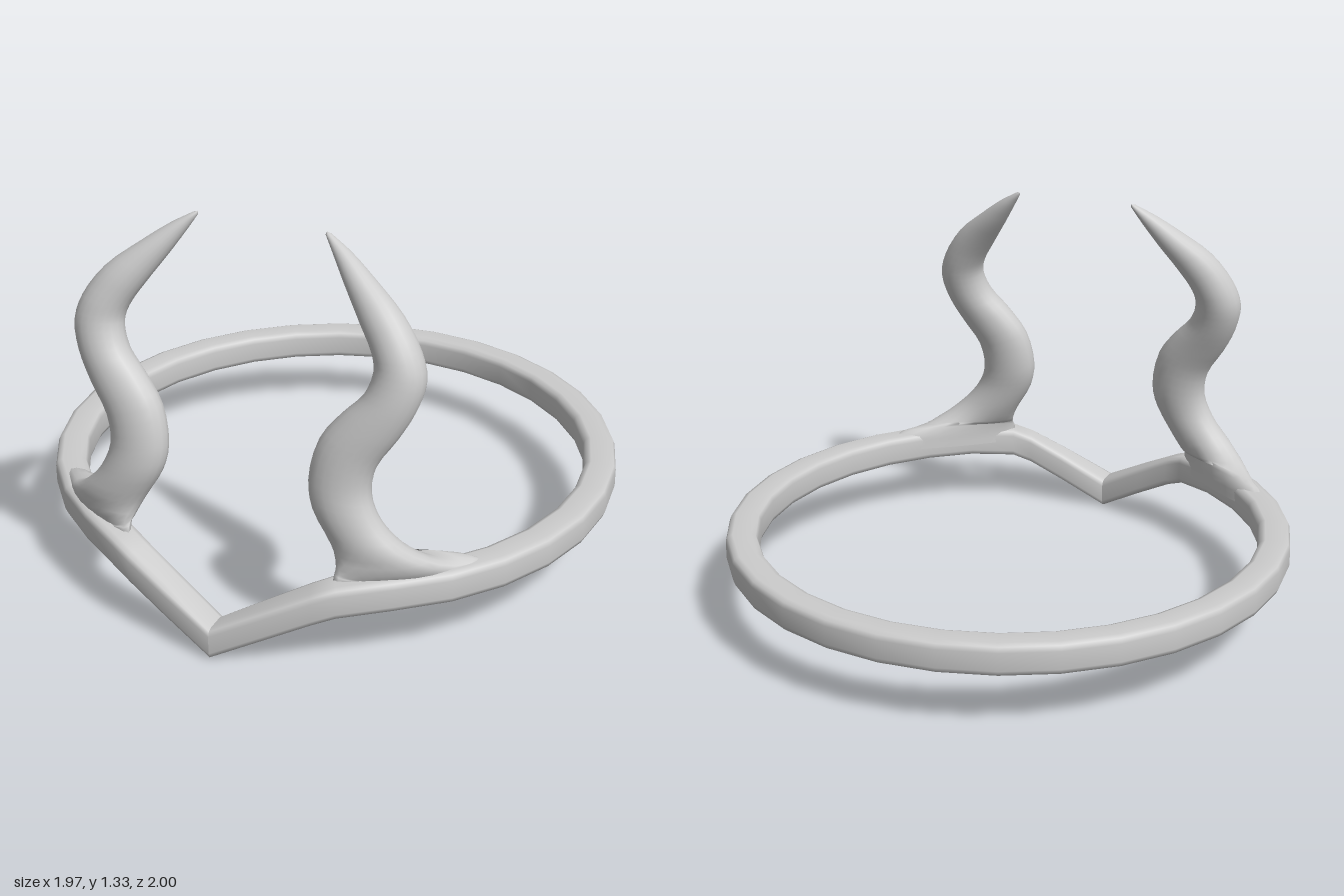
import * as THREE from 'three';

// Skins a list of equal-length point rings into one smooth tube
function loft(rings) {
  const n = rings[0].length;
  const positions = [];
  const index = [];
  rings.forEach((ring) => ring.forEach((p) => positions.push(p.x, p.y, p.z)));
  for (let i = 0; i < rings.length - 1; i++) {
    for (let j = 0; j < n; j++) {
      const k = (j + 1) % n;
      const a = i * n + j, b = i * n + k;
      index.push(a, b, b + n, a, b + n, a + n);
    }
  }
  const geometry = new THREE.BufferGeometry();
  geometry.setAttribute('position', new THREE.Float32BufferAttribute(positions, 3));
  geometry.setIndex(index);
  geometry.computeVertexNormals();
  return geometry;
}

// Rounded square section as (outward, up) offsets
function bandProfile(half, round) {
  const points = [];
  const corners = [[1, -1, 0], [-1, -1, 1], [-1, 1, 2], [1, 1, 3]];
  for (const [sx, sy, quarter] of corners) {
    for (let k = 0; k <= 2; k++) {
      const a = (quarter + k / 2) * Math.PI / 2;
      points.push([
        sx * (half - round) + round * Math.cos(a),
        sy * (half - round) - round * Math.sin(a),
      ]);
    }
  }
  return points;
}

// Circlet: round band that dips to a point at the front
function bandGeometry() {
  const R = 0.93, zc = -0.015;
  const halfPath = [
    [0, 0.055, 0.942], [0.17, 0.147, 0.907], [0.3, 0.215, 0.876], [0.37, 0.243, 0.849],
  ];
  for (let i = 3; i <= 16; i++) {
    const a = i * Math.PI / 16;
    halfPath.push([R * Math.sin(a), 0.255, zc + R * Math.cos(a)]);
  }
  const mirrored = halfPath.slice(0, -1).reverse().map(([x, y, z]) => [-x, y, z]);
  const profile = bandProfile(0.055, 0.024);
  const rings = [...halfPath, ...mirrored].map(([x, y, z]) => {
    const out = new THREE.Vector3(x, 0, z - zc).normalize();
    return profile.map(([d, h]) => new THREE.Vector3(x + out.x * d, y + h, z + out.z * d));
  });
  return loft(rings);
}

// Horn stations: inner edge xyz, outer edge xyz, half thickness
const hornStations = [
  [0.36, 0.25, 0.84, 0.76, 0.25, 0.53, 0.045],
  [0.36, 0.305, 0.84, 0.75, 0.302, 0.55, 0.048],
  [0.36, 0.335, 0.82, 0.655, 0.335, 0.66, 0.062],
  [0.33, 0.40, 0.79, 0.56, 0.405, 0.74, 0.07],
  [0.265, 0.51, 0.78, 0.485, 0.487, 0.76, 0.07],
  [0.247, 0.60, 0.765, 0.449, 0.575, 0.757, 0.07],
  [0.274, 0.73, 0.745, 0.463, 0.67, 0.75, 0.07],
  [0.34, 0.82, 0.727, 0.526, 0.77, 0.732, 0.071],
  [0.405, 0.89, 0.71, 0.574, 0.863, 0.71, 0.072],
  [0.43, 0.965, 0.69, 0.595, 0.955, 0.69, 0.072],
  [0.418, 1.015, 0.675, 0.57, 1.04, 0.675, 0.07],
  [0.37, 1.09, 0.65, 0.50, 1.138, 0.65, 0.062],
  [0.30, 1.19, 0.61, 0.395, 1.22, 0.61, 0.046],
  [0.25, 1.265, 0.58, 0.305, 1.283, 0.58, 0.028],
  [0.216, 1.318, 0.562, 0.232, 1.324, 0.562, 0.01],
];

function hornGeometry(side) {
  const inner = new THREE.CatmullRomCurve3(
    hornStations.map((s) => new THREE.Vector3(side * s[0], s[1], s[2])));
  const outer = new THREE.CatmullRomCurve3(
    hornStations.map((s) => new THREE.Vector3(side * s[3], s[4], s[5])));
  const last = hornStations.length - 1;
  const steps = last * 3, sides = 20;
  const centre = (t) => inner.getPoint(t).add(outer.getPoint(t)).multiplyScalar(0.5);
  const rings = [];
  for (let i = 0; i <= steps; i++) {
    const t = i / steps;
    const c = centre(t);
    const u = outer.getPoint(t).sub(inner.getPoint(t)).multiplyScalar(0.5);
    const along = centre(Math.min(1, t + 0.01)).sub(centre(Math.max(0, t - 0.01)));
    const s = Math.min(Math.floor(t * last), last - 1);
    const thick = THREE.MathUtils.lerp(hornStations[s][6], hornStations[s + 1][6], t * last - s);
    const v = along.cross(u).normalize().multiplyScalar(thick);
    rings.push(Array.from({ length: sides }, (_, j) => {
      const a = j / sides * Math.PI * 2;
      return c.clone().addScaledVector(u, Math.cos(a)).addScaledVector(v, Math.sin(a));
    }));
  }
  // Close the tip
  const tip = new THREE.Vector3(side * 0.218, 1.327, 0.558);
  rings.push(Array.from({ length: sides }, () => tip));
  return loft(rings);
}

export function createModel() {
  const metal = new THREE.MeshStandardMaterial({ color: 0xcccccc });
  metal.name = 'pale grey metal';
  const model = new THREE.Group();
  model.name = 'hornedCirclet';
  const add = (name, geometry) => {
    const mesh = new THREE.Mesh(geometry, metal);
    mesh.name = name;
    model.add(mesh);
  };
  add('band', bandGeometry());
  add('leftHorn', hornGeometry(1));
  add('rightHorn', hornGeometry(-1));
  return model;
}
